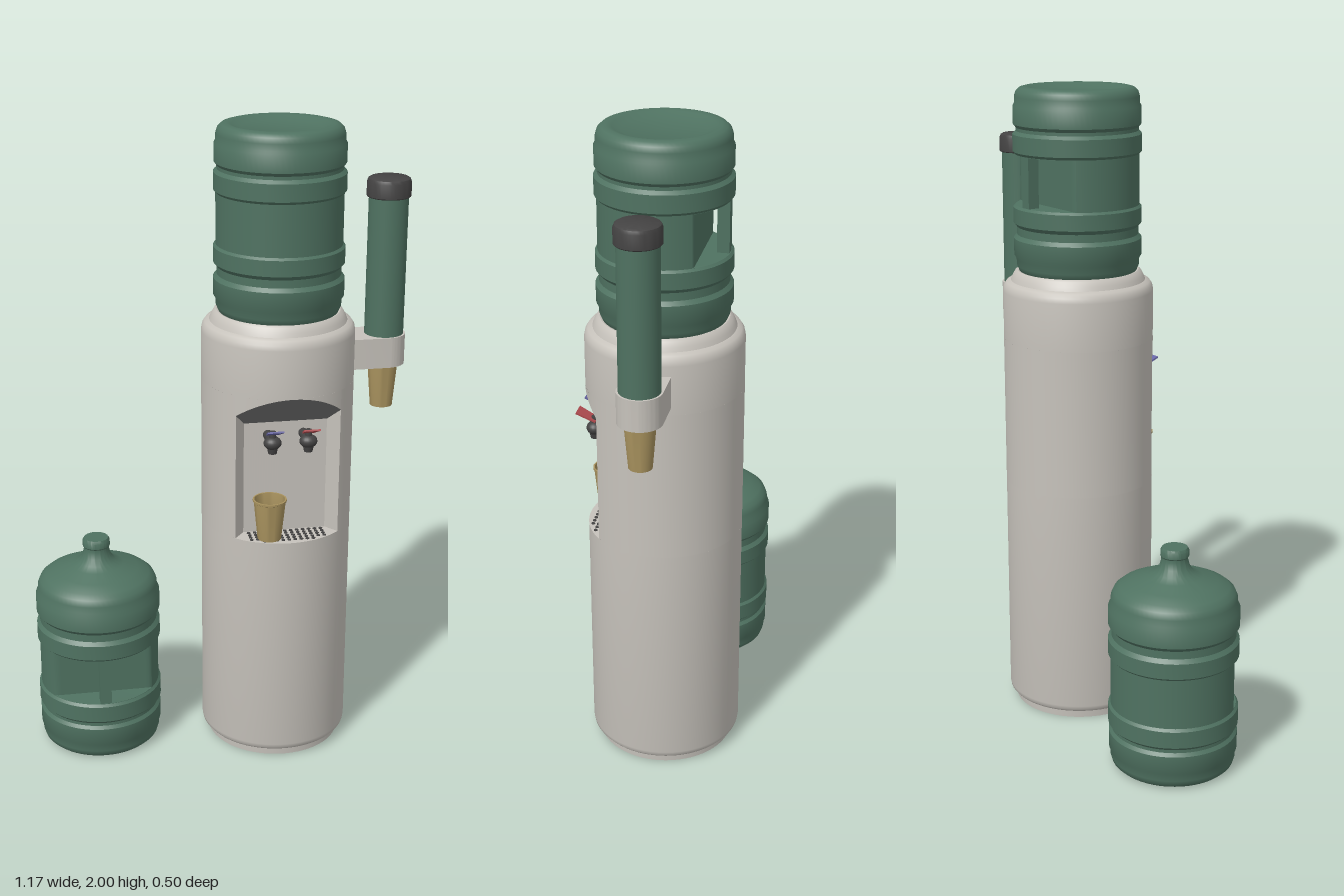
import * as THREE from 'three';
import { toCreasedNormals } from 'three/addons/utils/BufferGeometryUtils.js';

const mat = (name, color, side = THREE.FrontSide) => {
  const m = new THREE.MeshStandardMaterial({ color, side });
  m.name = name;
  return m;
};

function add(parent, name, geometry, material, x = 0, y = 0, z = 0) {
  const mesh = new THREE.Mesh(geometry, material);
  mesh.name = name;
  mesh.position.set(x, y, z);
  parent.add(mesh);
  return mesh;
}

// Turned part from [radius, height] pairs, keeping sharp edges
function lathe(points, start = 0, length = Math.PI * 2, segments = 64) {
  const pts = points.map(([r, y]) => new THREE.Vector2(r, y));
  return toCreasedNormals(new THREE.LatheGeometry(pts, segments, start, length), 0.6);
}

// Surface patch from a rule (u, v) -> [x, y, z]
function patch(rule, nu = 40, nv = 1) {
  const g = new THREE.PlaneGeometry(1, 1, nu, nv);
  const p = g.attributes.position, uv = g.attributes.uv;
  for (let i = 0; i < p.count; i++) p.setXYZ(i, ...rule(uv.getX(i), uv.getY(i)));
  return toCreasedNormals(g, 0.5);
}

export function createModel() {
  const shell = mat('warm grey shell', 0xc6c2bb, THREE.DoubleSide);
  const green = mat('bottle green', 0x4f7261, THREE.DoubleSide);
  const tan = mat('tan cup', 0xa8925e, THREE.DoubleSide);
  const dark = mat('charcoal', 0x444343);
  const hoodGrey = mat('hood grey', 0x747474, THREE.DoubleSide);
  const blue = mat('cold blue', 0x6866a6);
  const red = mat('hot red', 0xb24c50);

  const model = new THREE.Group();
  model.name = 'waterCooler';

  // Water bottle with a flat grip recess and vertical handle on +z
  function makeBottle(name) {
    const bottle = new THREE.Group();
    bottle.name = name;
    const low = 0.203, high = 0.357;
    const profile = [
      [0, 0.014], [0.12, 0.014], [0.145, 0.004], [0.16, 0], [0.175, 0.004], [0.186, 0.014],
      [0.191, 0.03], [0.191, 0.05], [0.196, 0.058], [0.196, 0.112], [0.188, 0.122], [0.188, 0.132],
      [0.198, 0.142], [0.198, 0.194], [0.191, 0.202], [0.191, low], [0.191, low + 0.001],
      [0.191, high - 0.001], [0.191, high], [0.198, 0.364], [0.198, 0.412], [0.188, 0.424],
      [0.188, 0.448], [0.198, 0.46], [0.198, 0.512], [0.191, 0.524], [0.19, 0.545],
      [0.182, 0.564], [0.165, 0.578], [0.13, 0.594], [0.085, 0.61], [0.06, 0.622], [0.046, 0.64],
      [0.04, 0.662], [0.04, 0.67], [0.043, 0.674], [0.043, 0.692], [0.038, 0.7], [0, 0.7],
    ].map(([r, y]) => new THREE.Vector2(r, y));
    const g = new THREE.LatheGeometry(profile, 72);
    const p = g.attributes.position;
    for (let i = 0; i < p.count; i++) {
      const y = p.getY(i);
      if (y > low + 0.0005 && y < high - 0.0005) p.setZ(i, Math.min(p.getZ(i), 0.113));
    }
    add(bottle, 'bottleBody', toCreasedNormals(g, 0.6), green);
    add(bottle, 'bottleHandle', new THREE.BoxGeometry(0.036, 0.16, 0.036), green, 0, 0.28, 0.171);
    return bottle;
  }

  const spare = makeBottle('spareBottle');
  spare.position.set(-0.388, 0, -0.055);
  model.add(spare);

  const cooler = new THREE.Group();
  cooler.name = 'cooler';
  cooler.position.set(0.183, 0, -0.011);
  model.add(cooler);

  const mounted = makeBottle('mountedBottle');
  mounted.rotation.x = Math.PI;
  mounted.position.y = 2;
  cooler.add(mounted);

  // Cabinet shell, open at the front where the alcove sits
  const R = 0.235, half = 0.161, floorY = 0.76, topY = 1.225, slope = 0.99;
  const gap = Math.asin(half / R);
  add(cooler, 'lowerCabinet', lathe([[0.2, 0.06], [0.2, 0], [0.213, 0], [0.214, 0.024], [0.226, 0.028],
    [0.233, 0.036], [R, 0.048], [R, floorY]]), shell);
  add(cooler, 'middleCabinet', lathe([[R, floorY], [R, topY]], gap, Math.PI * 2 - 2 * gap), shell);
  add(cooler, 'upperCabinet', lathe([[R, topY], [R, 1.375], [0.232, 1.39], [0.224, 1.402], [0.21, 1.408],
    [0.205, 1.42], [0.197, 1.434], [0.189, 1.44], [0.182, 1.438], [0.17, 1.415], [0.06, 1.38]]), shell);

  // Alcove: slanted sides, flat back, sloping hood and drip shelf
  const xAt = u => (u * 2 - 1) * half;
  const front = x => Math.sqrt(R * R - x * x);
  const back = x => {
    const t = Math.max(0, (Math.abs(x) / half - 0.8) / 0.2);
    return THREE.MathUtils.lerp(0.13, front(half), t);
  };
  const mix = THREE.MathUtils.lerp;
  add(cooler, 'alcoveBack', patch((u, v) => {
    const x = xAt(u), z = back(x);
    return [x, mix(floorY, z + slope, v), z];
  }), shell);
  add(cooler, 'alcoveHood', patch((u, v) => {
    const x = xAt(u), z = mix(back(x), front(x), v);
    return [x, z + slope, z];
  }), hoodGrey);
  add(cooler, 'alcoveBrow', patch((u, v) => {
    const x = xAt(u), z = front(x);
    return [x, mix(z + slope, topY, v), z];
  }), shell);
  add(cooler, 'dripShelf', patch((u, v) => {
    const x = xAt(u);
    return [x, floorY, mix(front(x), back(x), v)];
  }), shell);

  // Drip holes
  const hole = new THREE.CylinderGeometry(0.006, 0.006, 0.003, 8);
  for (let i = -6; i <= 6; i++) {
    for (let z = 0.142; z < front(i * 0.019) - 0.012; z += 0.017) {
      add(cooler, 'dripHole', hole, dark, i * 0.019, floorY + 0.001, z);
    }
  }

  // Taps with coloured levers
  const leverShape = new THREE.Shape([[-0.018, 0], [0.018, 0], [0.025, 0.064], [-0.025, 0.064]]
    .map(([x, y]) => new THREE.Vector2(x, y)));
  const leverGeo = new THREE.ExtrudeGeometry(leverShape, { depth: 0.005, bevelEnabled: false });
  [['cold', -0.055, blue], ['hot', 0.055, red]].forEach(([label, x, colour]) => {
    const tap = new THREE.Group();
    tap.name = label + 'Tap';
    tap.position.set(x, 1.08, 0.203);
    cooler.add(tap);
    add(tap, 'pipe', new THREE.CylinderGeometry(0.015, 0.015, 0.08, 16).rotateX(Math.PI / 2), dark, 0, 0, -0.035);
    add(tap, 'knob', new THREE.SphereGeometry(0.026, 20, 14).scale(1.05, 0.8, 0.95), dark);
    add(tap, 'nozzle', new THREE.CylinderGeometry(0.02, 0.013, 0.034, 16), dark, 0, -0.016, 0);
    add(tap, 'stem', new THREE.CylinderGeometry(0.01, 0.012, 0.03, 12), dark, 0, 0.022, 0);
    const lever = add(tap, 'lever', leverGeo, colour, 0, 0.027, -0.007);
    lever.rotation.x = Math.PI / 2 - 0.45;
  });

  // Open paper cup
  const cupGeo = lathe([[0, 0.006], [0.033, 0.006], [0.035, 0], [0.0365, 0], [0.049, 0.122], [0.052, 0.124],
    [0.052, 0.13], [0.047, 0.13], [0.034, 0.008]], 0, Math.PI * 2, 32);
  add(cooler, 'cup', cupGeo, tan, -0.058, floorY + 0.002, 0.187);

  // Side cup dispenser
  const dispenser = new THREE.Group();
  dispenser.name = 'cupDispenser';
  dispenser.position.set(0.333, 0, 0.002);
  cooler.add(dispenser);
  const arm = new THREE.Shape();
  arm.moveTo(-0.125, -0.066);
  arm.lineTo(0, -0.066);
  arm.absarc(0, 0, 0.066, -Math.PI / 2, Math.PI / 2, false);
  arm.lineTo(-0.125, 0.066);
  arm.closePath();
  const bore = new THREE.Path();
  bore.absarc(0, 0, 0.053, 0, Math.PI * 2, true);
  arm.holes.push(bore);
  const armGeo = new THREE.ExtrudeGeometry(arm, { depth: 0.095, bevelEnabled: false, curveSegments: 24 });
  add(dispenser, 'bracket', toCreasedNormals(armGeo.rotateX(-Math.PI / 2), 0.6), shell, 0, 1.25, 0);
  add(dispenser, 'cupTube', new THREE.CylinderGeometry(0.06, 0.06, 0.44, 40, 1, true), green, 0, 1.56, 0);
  add(dispenser, 'tubeCap', lathe([[0, 1.77], [0.064, 1.77], [0.067, 1.773], [0.067, 1.815], [0.063, 1.825],
    [0.056, 1.829], [0, 1.829]], 0, Math.PI * 2, 40), dark);
  add(dispenser, 'hangingCup', cupGeo, tan, 0, 1.11, 0).scale.set(0.95, 1.15, 0.95);

  return model;
}
